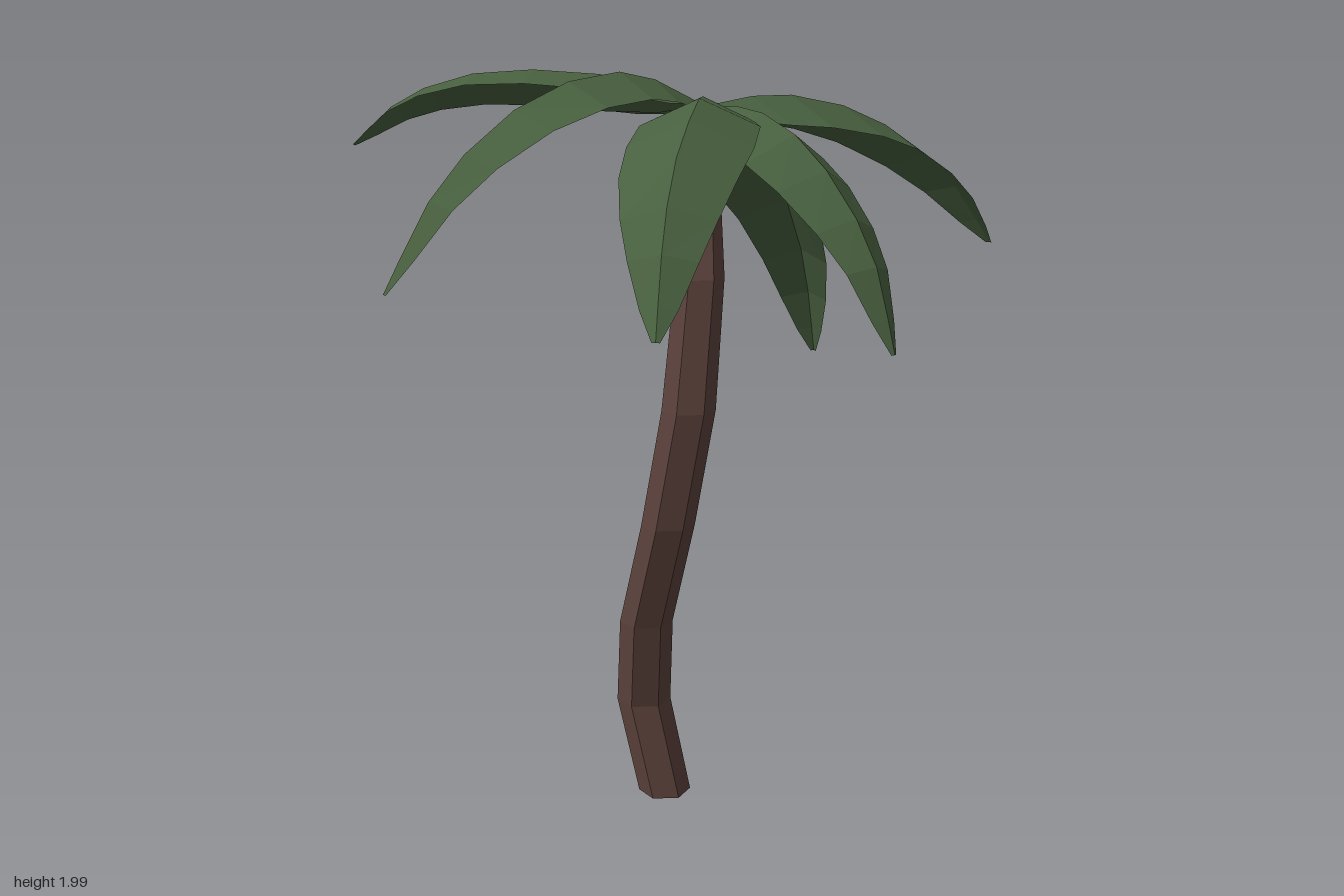
import * as THREE from 'three';

const trunkMaterial = new THREE.MeshStandardMaterial({ color: 0x5d433d, flatShading: true });
const leafMaterial = new THREE.MeshStandardMaterial({ color: 0x48603f, flatShading: true, side: THREE.DoubleSide });

// Curved trunk: centre x, y, z and radius of each ring, bottom to top
const TRUNK = [
  [-0.078, 0, 0.055, 0.072], [-0.13, 0.27, 0.082, 0.074], [-0.085, 0.52, 0.118, 0.072],
  [0.018, 0.82, 0.142, 0.071], [0.089, 1.14, 0.14, 0.07], [0.099, 1.48, 0.108, 0.063], [0.037, 1.88, 0.03, 0.04],
];

// Fronds: ridge points from root to tip, half width, fold depth and roll about the ridge
const FRONDS = [
  { name: 'frontRightFrond', half: 0.13, drop: 0.07, roll: 0.25, ridge: [
    [0.01, 1.91, 0.01], [-0.16, 1.97, 0.12], [-0.34, 1.99, 0.255], [-0.5, 1.97, 0.38], [-0.62, 1.905, 0.475], [-0.71, 1.8, 0.55]] },
  { name: 'frontFrond', half: 0.125, drop: 0.085, roll: 0.15, ridge: [
    [0.01, 1.91, 0.01], [-0.03, 1.985, 0.2], [-0.045, 1.97, 0.42], [-0.07, 1.88, 0.63], [-0.1, 1.73, 0.8], [-0.13, 1.51, 0.935]] },
  { name: 'frontLeftFrond', half: 0.15, drop: 0.07, roll: 0, ridge: [
    [0.03, 1.9, 0.01], [0.15, 1.935, 0.16], [0.275, 1.885, 0.35], [0.385, 1.785, 0.53], [0.48, 1.645, 0.67], [0.55, 1.46, 0.77]] },
  { name: 'leftFrond', half: 0.13, drop: 0.08, roll: 0, ridge: [
    [0.03, 1.9, 0.01], [0.2, 1.9, 0.03], [0.36, 1.845, 0.06], [0.5, 1.735, 0.08], [0.63, 1.575, 0.105], [0.71, 1.36, 0.125]] },
  { name: 'backFrond', half: 0.205, drop: 0.08, roll: 0, ridge: [
    [0.02, 1.9, 0.0], [0.07, 1.925, -0.22], [0.13, 1.89, -0.45], [0.19, 1.81, -0.63], [0.25, 1.67, -0.81], [0.31, 1.49, -0.935]] },
  { name: 'backRightFrond', half: 0.14, drop: 0.1, roll: 0, ridge: [
    [0.02, 1.9, 0.0], [-0.035, 1.865, -0.19], [-0.1, 1.735, -0.4], [-0.14, 1.565, -0.58], [-0.18, 1.34, -0.71], [-0.2, 1.13, -0.775]] },
];
// Leaf outline: position along the ridge and share of the half width
const OUTLINE = [
  [0, 0.12], [0.06, 0.55], [0.14, 0.84], [0.25, 0.98], [0.4, 1],
  [0.55, 0.9], [0.7, 0.72], [0.82, 0.52], [0.93, 0.28], [1, 0.06],
];

// Six-sided cylinder whose rings are moved onto the trunk path
function createTrunk() {
  const last = TRUNK.length - 1;
  const geometry = new THREE.CylinderGeometry(1, 1, 1, 6, last);
  geometry.rotateY(0.26);
  const p = geometry.attributes.position;
  for (let i = 0; i < p.count; i++) {
    const [x, y, z, r] = TRUNK[Math.round((p.getY(i) + 0.5) * last)];
    p.setXYZ(i, x + p.getX(i) * r, y, z + p.getZ(i) * r);
  }
  geometry.computeVertexNormals();
  const mesh = new THREE.Mesh(geometry, trunkMaterial);
  mesh.name = 'trunk';
  return mesh;
}

// Roof-folded leaf: each cross-section has a left edge, ridge and right edge
function createFrond({ name, ridge, half, drop, roll }) {
  const curve = new THREE.CatmullRomCurve3(ridge.map((p) => new THREE.Vector3(...p)));
  const heading = curve.getPoint(1).sub(curve.getPoint(0)).setY(0).normalize();
  const level = new THREE.Vector3(heading.z, 0, -heading.x);
  const positions = [];
  const index = [];
  OUTLINE.forEach(([t, width], i) => {
    const point = curve.getPoint(t);
    const tangent = curve.getTangent(t);
    const side = level.clone().applyAxisAngle(tangent, roll);
    const up = tangent.clone().cross(side).normalize();
    // The fold flattens towards the tip
    const fold = drop * width * (1.05 - 0.3 * t);
    for (const s of [1, 0, -1]) {
      const v = point.clone().addScaledVector(side, s * half * width);
      v.addScaledVector(up, -Math.abs(s) * fold);
      positions.push(v.x, v.y, v.z);
    }
    if (i < OUTLINE.length - 1) {
      for (let k = 0; k < 2; k++) {
        const a = i * 3 + k;
        index.push(a, a + 4, a + 1, a, a + 3, a + 4);
      }
    }
  });
  const geometry = new THREE.BufferGeometry();
  geometry.setAttribute('position', new THREE.Float32BufferAttribute(positions, 3));
  geometry.setIndex(index);
  geometry.computeVertexNormals();
  const mesh = new THREE.Mesh(geometry, leafMaterial);
  mesh.name = name;
  return mesh;
}

export function createModel() {
  const model = new THREE.Group();
  model.name = 'palmTree';
  const crown = new THREE.Group();
  crown.name = 'crown';
  FRONDS.forEach((frond) => crown.add(createFrond(frond)));
  model.add(createTrunk(), crown);
  return model;
}
